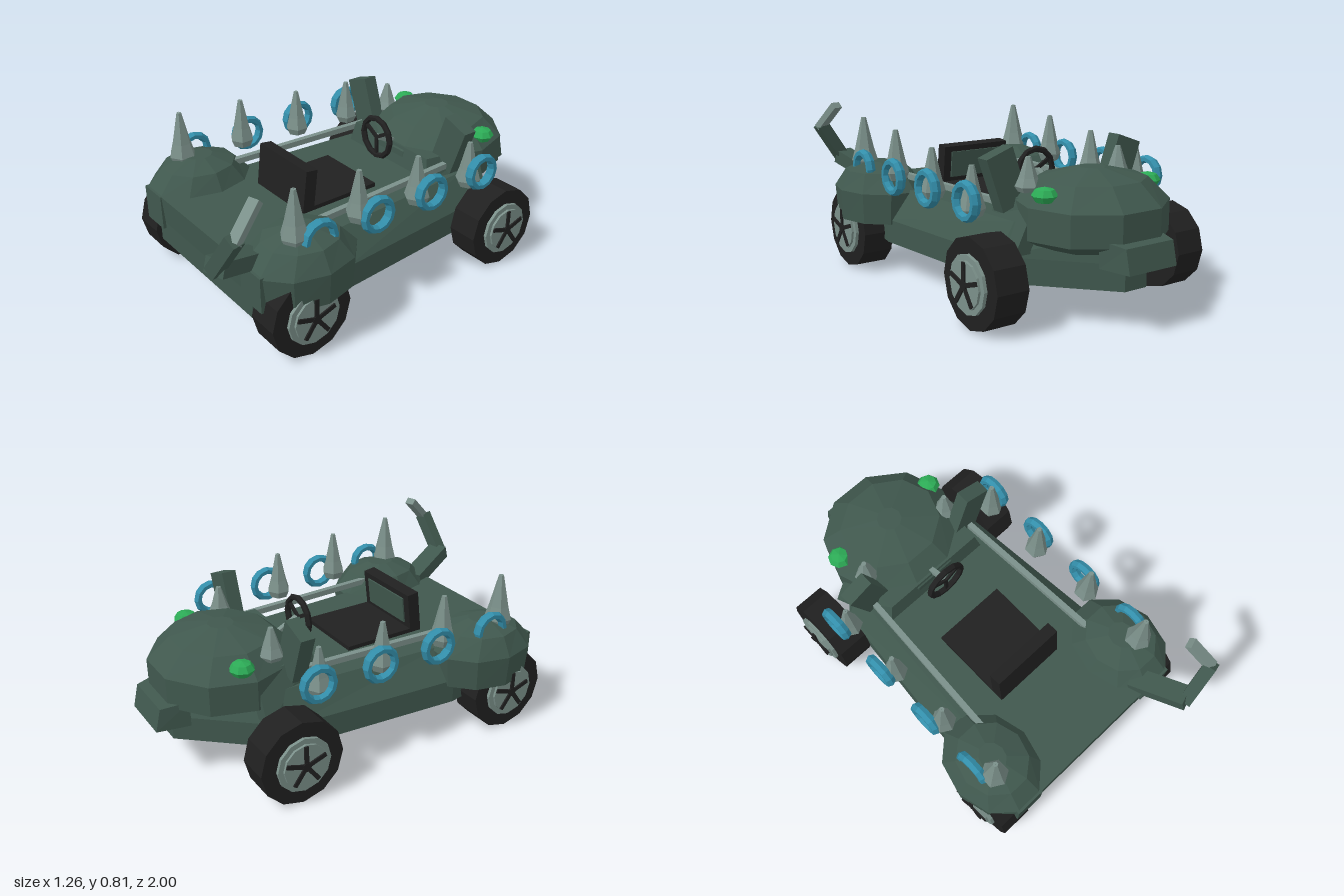
import * as THREE from 'three';

const mat = (name, color) => {
  const m = new THREE.MeshStandardMaterial({ color, flatShading: true });
  m.name = name;
  return m;
};

// Skin stacked rings (counter-clockwise from above, bottom to top) and cap both ends
function loft(rings) {
  const pos = [];
  const tri = (...pts) => pts.forEach((p) => pos.push(...p));
  const n = rings[0].length;
  const mid = (r) => [0, 1, 2].map((k) => r.reduce((s, p) => s + p[k], 0) / n);
  const bottom = rings[0], top = rings[rings.length - 1];
  const cb = mid(bottom), ct = mid(top);
  for (let i = 0; i < n; i++) {
    const j = (i + 1) % n;
    for (let k = 0; k < rings.length - 1; k++) {
      const a = rings[k], b = rings[k + 1];
      tri(a[i], a[j], b[j], a[i], b[j], b[i]);
    }
    tri(cb, bottom[j], bottom[i]);
    tri(ct, top[i], top[j]);
  }
  const g = new THREE.BufferGeometry();
  g.setAttribute('position', new THREE.Float32BufferAttribute(pos, 3));
  g.computeVertexNormals();
  return g;
}

// Ten-sided elliptical ring around (cx, cz)
const oval = (cx, cz, y, rx, rz) =>
  Array.from({ length: 10 }, (_, i) => {
    const t = (i / 10) * Math.PI * 2;
    return [cx + rx * Math.cos(t), y, cz - rz * Math.sin(t)];
  });

// Symmetric outline from [x, z, y] points on the +x half, listed front to back
const outline = (half) => [
  ...half.map(([x, z, y]) => [x, y, z]),
  ...half.slice().reverse().map(([x, z, y]) => [-x, y, z]),
];

export function createModel() {
  const root = new THREE.Group();
  root.name = 'spikedBuggy';
  const green = mat('bodyGreen', 0x40584e);
  const silver = mat('paleMetal', 0x7b908a);
  const black = mat('blackRubber', 0x202020);
  const blue = mat('ringBlue', 0x338fab);
  const glow = mat('eyeGreen', 0x2cab56);

  const add = (name, geo, material, x = 0, y = 0, z = 0, parent = root) => {
    const m = new THREE.Mesh(geo, material);
    m.name = name;
    m.position.set(x, y, z);
    parent.add(m);
    return m;
  };
  const group = (name, x, y, z) => {
    const g = new THREE.Group();
    g.name = name;
    g.position.set(x, y, z);
    root.add(g);
    return g;
  };
  const box = (w, h, d) => new THREE.BoxGeometry(w, h, d);
  const disc = (r, w, n) => new THREE.CylinderGeometry(r, r, w, n).rotateZ(Math.PI / 2);

  // Bar with a square section between two points
  const bar = (name, from, to, w, h, material) => {
    const a = new THREE.Vector3(...from), b = new THREE.Vector3(...to);
    const m = add(name, box(w, h, a.distanceTo(b)), material);
    m.position.copy(a).add(b).multiplyScalar(0.5);
    m.lookAt(b);
  };

  // Hull: flat underside coming to a blunt point, sides leaning in to the deck
  const plan = [[0.4, 0.79], [0.48, 0.35], [0.41, -0.5], [0.06, -0.9]];
  const topPlan = [[0.38, 0.8], [0.38, 0.35], [0.33, -0.5], [0.05, -0.88]];
  const level = (p, y) => outline(p.map(([x, z]) => [x, z, y]));
  add('hull', loft([level(plan, 0.165), level(plan, 0.28), level(topPlan, 0.42)]), green);

  // Cowl in front of the driver
  add('cowl', loft([
    outline([[0.3, -0.28, 0.4], [0.4, -0.6, 0.3]]),
    outline([[0.27, -0.3, 0.52], [0.3, -0.6, 0.5]]),
  ]), green);

  // Rounded head with a short snout
  const head = [[0.32, 0.27, 0.27], [0.36, 0.34, 0.335], [0.5, 0.34, 0.335], [0.595, 0.25, 0.23], [0.64, 0.06, 0.06]];
  add('head', loft(head.map(([y, rx, rz]) => oval(0, -0.61, y, rx, rz))), green);
  add('snout', loft([
    outline([[0.16, -0.85, 0.27], [0.13, -1, 0.27]]),
    outline([[0.16, -0.85, 0.39], [0.13, -0.975, 0.375]]),
  ]), green);

  // Seat, leaning slightly, with a panel on its backrest
  add('seatCushion', box(0.37, 0.06, 0.36), black, 0, 0.41, 0.13);
  const backrest = group('backrest', 0, 0.515, 0.328);
  backrest.rotation.x = -0.12;
  add('seatBack', box(0.37, 0.215, 0.06), black, 0, 0, 0, backrest);
  add('seatPanel', box(0.29, 0.13, 0.008), green, 0, 0.015, -0.033, backrest);

  // Steering wheel
  const steering = group('steeringWheel', 0, 0.563, -0.213);
  add('steeringRim', new THREE.TorusGeometry(0.098, 0.015, 6, 12), black, 0, 0, 0, steering);
  for (let i = 0; i < 3; i++) {
    const a = Math.PI / 6 + (i * Math.PI * 2) / 3;
    const s = add('steeringSpoke', box(0.095, 0.018, 0.012), black, Math.cos(a) * 0.048, Math.sin(a) * 0.048, 0, steering);
    s.rotation.z = a;
  }
  bar('steeringColumn', [0, 0.563, -0.22], [0, 0.51, -0.33], 0.025, 0.025, silver);

  // Spike: faceted cone with a pinched base
  const spikeGeo = (r, h) => new THREE.LatheGeometry(
    [[0.001, 0], [r * 0.75, 0], [r, h * 0.15], [r * 0.72, h * 0.4], [0.012, h], [0.001, h]]
      .map(([x, y]) => new THREE.Vector2(x, y)), 6);
  const spikes = [
    [0.465, 0.5, 0.61, 0.065, 0.255], [0.465, 0.49, 0.275, 0.06, 0.24], [0.465, 0.46, -0.06, 0.06, 0.23],
    [0.465, 0.44, -0.385, 0.06, 0.22], [0.253, 0.54, -0.495, 0.058, 0.15],
  ];

  const tyreGeo = disc(0.2, 0.155, 12);
  const rimGeo = disc(0.13, 0.02, 12);
  const innerRimGeo = disc(0.105, 0.02, 12);
  const capGeo = disc(0.022, 0.014, 8);
  const ringGeo = new THREE.TorusGeometry(0.073, 0.019, 6, 12).scale(1, 1, 1.3).rotateY(Math.PI / 2);
  const eyeGeo = new THREE.SphereGeometry(0.057, 8, 4).scale(1, 0.65, 1);

  for (const s of [1, -1]) {
    const side = s > 0 ? 'left' : 'right';

    // Wheels with five-spoke rims
    for (const [end, z] of [['Front', 0.608], ['Rear', -0.535]]) {
      const wheel = group(`${side}${end}Wheel`, s * 0.5, 0.2, z);
      add('tyre', tyreGeo, black, 0, 0, 0, wheel);
      add('rim', rimGeo, silver, s * 0.083, 0, 0, wheel);
      add('innerRim', innerRimGeo, silver, s * 0.094, 0, 0, wheel);
      add('hubCap', capGeo, black, s * 0.106, 0, 0, wheel);
      for (let i = 0; i < 5; i++) {
        const a = Math.PI / 2 + (i * Math.PI * 2) / 5;
        const spoke = add('spoke', box(0.009, 0.02, 0.1), black, s * 0.107, Math.sin(a) * 0.05, Math.cos(a) * 0.05, wheel);
        spoke.rotation.x = -a;
      }
    }

    // Fender: dome over the wheel, tucked in behind it below
    add(`${side}Fender`, loft([
      oval(s * 0.42, 0.55, 0.11, 0.02, 0.08),
      oval(s * 0.36, 0.55, 0.16, 0.075, 0.16),
      oval(s * 0.33, 0.55, 0.25, 0.09, 0.2),
      oval(s * 0.425, 0.55, 0.26, 0.195, 0.25),
      oval(s * 0.42, 0.55, 0.41, 0.21, 0.265),
      oval(s * 0.42, 0.55, 0.5, 0.16, 0.18),
      oval(s * 0.42, 0.55, 0.54, 0.06, 0.07),
    ]), green);
    add(`${side}FenderPanel`, box(0.15, 0.17, 0.12), green, s * 0.42, 0.335, 0.745);

    // Side rail
    bar(`${side}Rail`, [s * 0.35, 0.48, 0.42], [s * 0.31, 0.48, -0.4], 0.028, 0.028, silver);

    // Tilted ear plate
    const ear = add(`${side}Ear`, box(0.14, 0.25, 0.07), green, s * 0.325, 0.59, -0.415);
    ear.rotation.z = -s * 0.34;

    add(`${side}Eye`, eyeGeo, glow, s * 0.288, 0.555, -0.655);
    for (const [x, y, z, r, h] of spikes) add(`${side}Spike`, spikeGeo(r, h), silver, s * x, y, z);
    for (const z of [0.52, 0.212, -0.102, -0.418]) add(`${side}Ring`, ringGeo, blue, s * 0.516, 0.517, z);
  }

  // Bent tail arm at the left front corner
  bar('tailBase', [0.34, 0.42, 0.72], [0.425, 0.51, 0.965], 0.1, 0.07, green);
  bar('tailMiddle', [0.42, 0.49, 0.965], [0.555, 0.69, 0.94], 0.06, 0.06, green);
  bar('tailTip', [0.555, 0.675, 0.945], [0.515, 0.8, 0.815], 0.05, 0.035, silver);

  return root;
}
